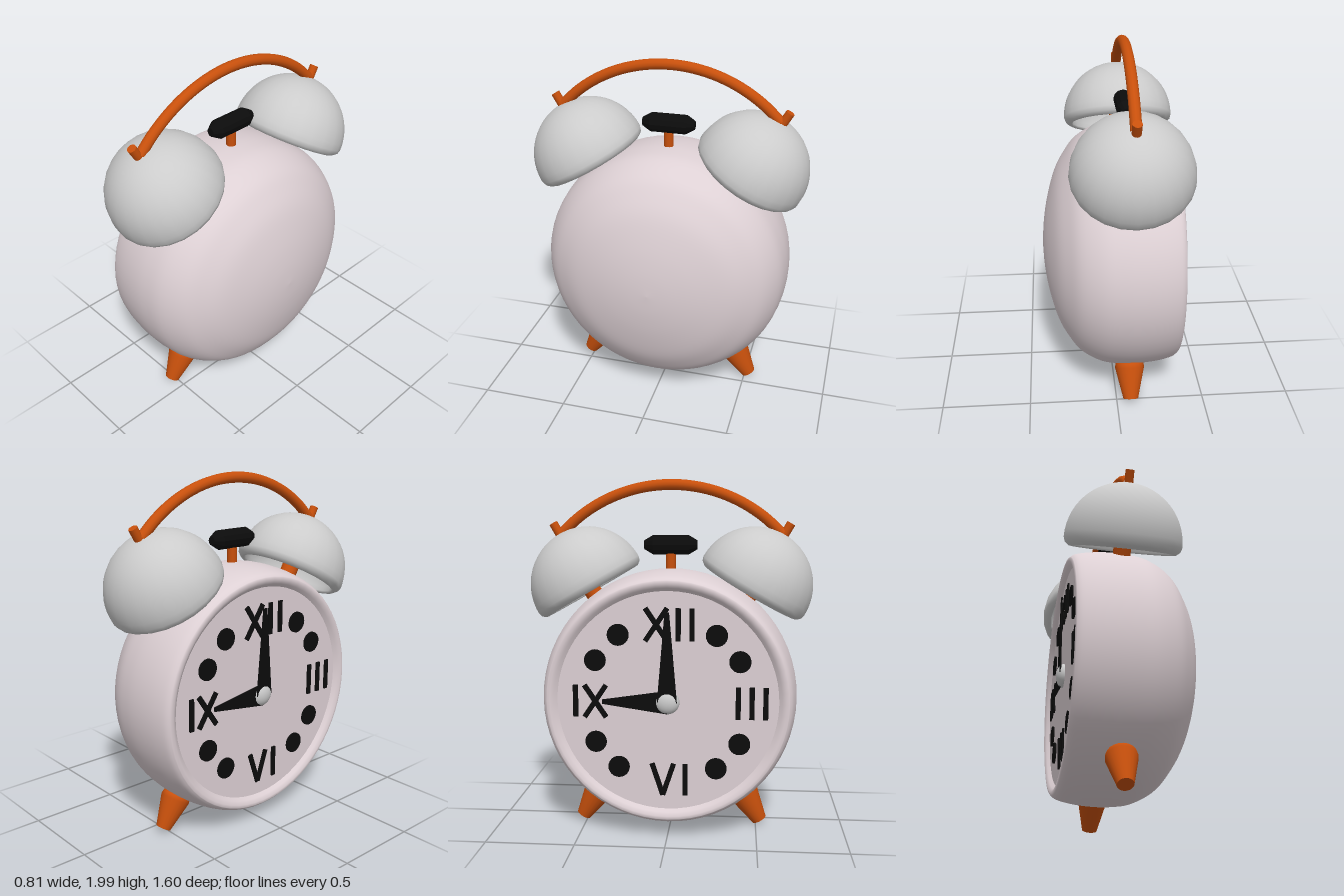
import * as THREE from 'three';

const mat = (color, side = THREE.FrontSide) => new THREE.MeshStandardMaterial({ color, side });
const V2 = (p) => new THREE.Vector2(p[0], p[1]);

export function createModel() {
  const clock = new THREE.Group();
  clock.name = 'alarmClock';
  const grey = mat(0xcccccc);
  const shell = mat(0xddd0d4);
  const orange = mat(0xc8500c);
  const black = mat(0x0c0c0c);
  const AX = -0.08; // plane of bells, legs and handle
  const CY = 0.785; // height of the dial centre

  const add = (parent, name, geo, material, x = 0, y = 0, z = 0) => {
    const m = new THREE.Mesh(geo, material);
    m.name = name;
    m.position.set(x, y, z);
    parent.add(m);
    return m;
  };

  // Body: smooth lathe about the x axis, dial side at -x, domed back at +x
  const lip = [[0.61, -0.325], [0.63, -0.345], [0.65, -0.358], [0.668, -0.355]];
  const wall = new THREE.SplineCurve([
    [0.668, -0.355], [0.69, -0.325], [0.71, -0.24], [0.72, -0.13], [0.717, -0.03], [0.697, 0.08],
    [0.635, 0.19], [0.55, 0.26], [0.44, 0.32], [0.28, 0.367], [0.13, 0.392], [0, 0.4],
  ].map(V2)).getPoints(44);
  wall[44].x = 0;
  const bodyGeo = new THREE.LatheGeometry([...lip.slice(0, 3).map(V2), ...wall], 64);
  bodyGeo.rotateZ(-Math.PI / 2);
  add(clock, 'body', bodyGeo, shell, 0, CY, 0);

  // Dial: local x runs to the right of the face, local z points out of it
  const dial = new THREE.Group();
  dial.name = 'dial';
  dial.position.set(-0.328, CY, 0);
  dial.rotation.y = -Math.PI / 2;
  clock.add(dial);
  add(dial, 'dialPlate', new THREE.CircleGeometry(0.62, 64), shell);

  // Straight strokes marking the quarter hours
  const bar = (x1, y1, x2, y2) => {
    const len = Math.hypot(x2 - x1, y2 - y1);
    const m = add(dial, 'hourStroke', new THREE.BoxGeometry(0.028, len, 0.012), black,
      (x1 + x2) / 2, (y1 + y2) / 2, 0.004);
    m.rotation.z = Math.atan2(y2 - y1, x2 - x1) - Math.PI / 2;
  };
  const H = 0.09; // half height of a stroke
  const upright = (x, y) => bar(x, y - H, x, y + H);
  const cross = (x, y) => {
    bar(x - 0.06, y - H, x + 0.06, y + H);
    bar(x - 0.06, y + H, x + 0.06, y - H);
  };
  cross(-0.06, 0.43);
  [0.06, 0.135].forEach((x) => upright(x, 0.43));
  [0.39, 0.465, 0.54].forEach((x) => upright(x, 0));
  upright(-0.51, 0);
  cross(-0.4, 0);
  bar(-0.085, -0.44 + H, -0.025, -0.44 - H);
  bar(0.035, -0.44 + H, -0.025, -0.44 - H);
  upright(0.1, -0.44);

  // Round dots for the other hours
  for (const sx of [-1, 1]) for (const sy of [-1, 1]) for (const deg of [36, 60]) {
    const a = THREE.MathUtils.degToRad(deg);
    const dot = new THREE.CylinderGeometry(0.06, 0.06, 0.012, 24).rotateX(Math.PI / 2);
    add(dial, 'hourDot', dot, black, sx * 0.46 * Math.sin(a), sy * 0.46 * Math.cos(a), 0.004);
  }

  // Tapered hands and the centre cap
  const hand = (name, length, base, z, turn) => {
    const s = new THREE.Shape([[-base, 0], [base, 0], [0.012, length], [-0.012, length]].map(V2));
    const g = new THREE.ExtrudeGeometry(s, { depth: 0.008, bevelEnabled: false });
    add(dial, name, g, black, 0, 0, z).rotation.z = turn;
  };
  hand('minuteHand', 0.5, 0.055, 0.02, 0);
  hand('hourHand', 0.36, 0.065, 0.011, Math.PI / 2);
  add(dial, 'handCap', new THREE.SphereGeometry(0.068, 24, 16).scale(1, 1, 0.62), grey);

  // Hollow bell profile: inside from the crown down, over the rim, outside back up
  const bellPts = [];
  for (let i = 0; i <= 12; i++) {
    const a = (i / 12) * Math.PI / 2;
    bellPts.push(new THREE.Vector2(0.285 * Math.sin(a), 0.285 * Math.cos(a)));
  }
  bellPts.push(...[[0.28, -0.03], [0.285, -0.042], [0.3, -0.042], [0.322, -0.025]].map(V2));
  for (let i = 0; i <= 14; i++) {
    const a = (1 - i / 14) * Math.PI / 2;
    bellPts.push(new THREE.Vector2(0.33 * Math.sin(a), 0.33 * Math.cos(a)));
  }

  for (const s of [1, -1]) {
    // Bell with its post and top pin, leaning outwards by 30 degrees
    const bell = new THREE.Group();
    bell.name = s > 0 ? 'frontBell' : 'backBell';
    bell.position.set(AX, 1.41, s * 0.47);
    bell.rotation.x = s * Math.PI / 6;
    clock.add(bell);
    add(bell, 'bellShell', new THREE.LatheGeometry(bellPts, 24), grey);
    add(bell, 'bellPost', new THREE.CylinderGeometry(0.05, 0.05, 0.48, 16), orange, 0, 0.05, 0);
    add(bell, 'bellPin', new THREE.CylinderGeometry(0.025, 0.025, 0.12, 12), orange, 0, 0.34, 0);

    // Leg: tapered, with a softly domed upper end
    const legPts = [[0, -0.1], [0.043, -0.1], [0.043, -0.1], [0.085, 0.08], [0.08, 0.105], [0.06, 0.12], [0, 0.13]];
    const leg = add(clock, s > 0 ? 'frontLeg' : 'backLeg',
      new THREE.LatheGeometry(legPts.map(V2), 20), orange, AX, 0.118, s * 0.473);
    leg.rotation.x = -s * Math.PI / 6;
  }

  // Arched handle between the bell pins
  const R = 0.847;
  const arc = [];
  for (let i = 0; i <= 12; i++) {
    const a = (i / 6 - 1) * 0.825;
    arc.push(new THREE.Vector3(AX, 1.123 + R * Math.cos(a), R * Math.sin(a)));
  }
  add(clock, 'handle', new THREE.TubeGeometry(new THREE.CatmullRomCurve3(arc), 40, 0.03, 12), orange);

  // Hammer between the bells
  add(clock, 'hammerRod', new THREE.CylinderGeometry(0.028, 0.028, 0.2, 12), orange, AX, 1.52, 0);
  const headPts = [[0, -0.15], [0.025, -0.15], [0.055, -0.1], [0.055, 0.1], [0.025, 0.15], [0, 0.15]];
  const headGeo = new THREE.LatheGeometry(headPts.map(V2), 12).rotateX(Math.PI / 2);
  const headMat = mat(0x0c0c0c);
  headMat.flatShading = true;
  add(clock, 'hammerHead', headGeo, headMat, AX, 1.637, 0);

  return clock;
}
